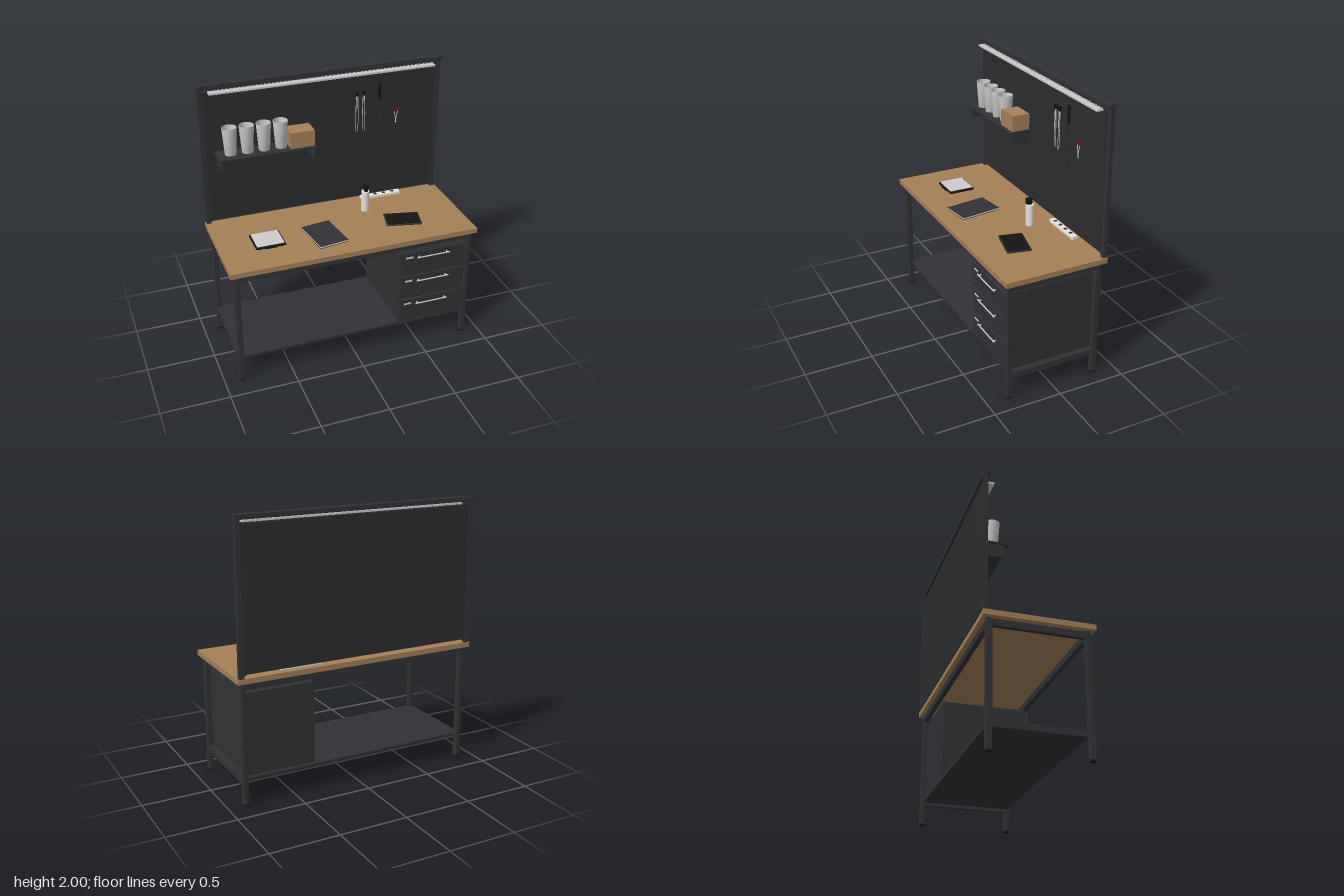
import * as THREE from 'three';
import { RoundedBoxGeometry } from 'three/addons/geometries/RoundedBoxGeometry.js';

const mat = (color, extra = {}) => new THREE.MeshStandardMaterial({ color, ...extra });
const M = {
  steel: mat(0x303235),
  panel: mat(0x2b2d2f),
  black: mat(0x141414),
  wood: mat(0xa47f55),
  carton: mat(0xa67f5a),
  grey: mat(0xcccccc),
  cup: mat(0xcccccc, { side: THREE.DoubleSide }),
  white: mat(0xe6e2dc),
  red: mat(0x5a1a1a),
};

function add(parent, name, geo, material, x = 0, y = 0, z = 0) {
  const m = new THREE.Mesh(geo, material);
  m.name = name;
  m.position.set(x, y, z);
  parent.add(m);
  return m;
}

// Box given by its extents on each axis; r rounds the edges
function box(parent, name, material, [x0, x1], [y0, y1], [z0, z1], r = 0) {
  const s = [x1 - x0, y1 - y0, z1 - z0];
  const geo = r ? new RoundedBoxGeometry(...s, 2, r) : new THREE.BoxGeometry(...s);
  return add(parent, name, geo, material, (x0 + x1) / 2, (y0 + y1) / 2, (z0 + z1) / 2);
}

function group(parent, name, x = 0, y = 0, z = 0, ry = 0) {
  const g = new THREE.Group();
  g.name = name;
  g.position.set(x, y, z);
  g.rotation.y = ry;
  parent.add(g);
  return g;
}

// Thin rod between two points
function rod(parent, name, material, a, b, r) {
  const A = new THREE.Vector3(...a), B = new THREE.Vector3(...b);
  return add(parent, name, new THREE.TubeGeometry(new THREE.LineCurve3(A, B), 1, r, 8), material);
}

function buildFrame(root) {
  const g = group(root, 'deskFrame');
  box(g, 'worktop', M.wood, [-0.92, 0.92], [0.887, 0.925], [-0.38, 0.38]);
  for (const sx of [-1, 1]) {
    for (const sz of [-1, 1]) {
      const x = sx * 0.8725, z = sz * 0.333;
      box(g, 'leg', M.steel, [x - 0.019, x + 0.019], [0.01, 0.887], [z - 0.021, z + 0.021], 0.005);
      add(g, 'foot', new THREE.CylinderGeometry(0.019, 0.021, 0.012, 20), M.black, x, 0.006, z);
    }
    const x = sx * 0.8725;
    box(g, 'sideApron', M.steel, [x - 0.016, x + 0.016], [0.833, 0.88], [-0.313, 0.313]);
    box(g, 'sideRail', M.steel, [x - 0.016, x + 0.016], [0.155, 0.2], [-0.313, 0.313]);
  }
  for (const sz of [-1, 1]) {
    const z = sz * 0.333;
    box(g, 'longApron', M.steel, [-0.855, 0.855], [0.833, 0.882], [z - 0.017, z + 0.017]);
  }
  box(g, 'lowerShelf', M.steel, [-0.857, 0.857], [0.18, 0.2], [-0.333, 0.333]);
}

function buildDrawers(root) {
  const g = group(root, 'drawerCabinet');
  box(g, 'cabinetBody', M.steel, [0.338, 0.852], [0.207, 0.803], [-0.32, 0.328]);
  for (let i = 0; i < 3; i++) {
    const y = 0.21 + i * 0.2;
    box(g, 'drawerFront', M.steel, [0.342, 0.848], [y + 0.003, y + 0.189], [0.328, 0.345], 0.003);
    const h = y + 0.15;
    const bar = add(g, 'drawerHandle', new THREE.CapsuleGeometry(0.005, 0.25, 4, 10), M.grey, 0.59, h, 0.365);
    bar.rotation.z = Math.PI / 2;
    for (const x of [0.48, 0.70]) box(g, 'handlePost', M.grey, [x - 0.004, x + 0.004], [h - 0.004, h + 0.004], [0.343, 0.365]);
    box(g, 'labelPlate', M.grey, [0.378, 0.434], [h - 0.007, h + 0.007], [0.343, 0.348]);
  }
}

function buildBackboard(root) {
  const g = group(root, 'backboard');
  for (const s of [-1, 1]) {
    const x = s * 0.8925;
    box(g, 'post', M.steel, [x - 0.0175, x + 0.0175], [0.925, 1.97], [-0.38, -0.35]);
    box(g, 'postChannel', M.panel, [s * 0.865 - 0.01, s * 0.865 + 0.01], [0.945, 1.943], [-0.374, -0.353]);
  }
  box(g, 'topRail', M.steel, [-0.912, 0.912], [1.965, 2], [-0.382, -0.33], 0.004);
  box(g, 'toolPanel', M.panel, [-0.86, 0.86], [0.95, 1.94], [-0.372, -0.35]);
  // Light bar with a row of cooling ribs
  box(g, 'lightBar', M.grey, [-0.84, 0.84], [1.941, 1.954], [-0.335, -0.288]);
  for (let i = 0; i < 56; i++) {
    const x = -0.825 + i * 0.03;
    box(g, 'lightRib', M.grey, [x - 0.004, x + 0.004], [1.953, 1.958], [-0.335, -0.315]);
  }
  for (const x of [-0.7, 0, 0.7]) box(g, 'lightBracket', M.steel, [x - 0.01, x + 0.01], [1.935, 1.943], [-0.352, -0.32]);
}

function buildWallShelf(root) {
  const g = group(root, 'wallShelf');
  box(g, 'shelfBoard', M.steel, [-0.82, -0.11], [1.485, 1.495], [-0.35, -0.18]);
  for (const x of [-0.8, -0.122]) box(g, 'shelfBracket', M.steel, [x - 0.004, x + 0.004], [1.39, 1.486], [-0.35, -0.203]);
  const profile = [[0, 0], [0.04, 0], [0.054, 0.204], [0.05, 0.204], [0.037, 0.008], [0, 0.008]]
    .map(([r, y]) => new THREE.Vector2(r, y));
  for (let i = 0; i < 4; i++) {
    add(g, 'cup', new THREE.LatheGeometry(profile, 32), M.cup, -0.72 + i * 0.123, 1.495, -0.27);
  }
  box(g, 'cardboardBox', M.carton, [-0.298, -0.118], [1.495, 1.615], [-0.342, -0.204]);
}

function buildTools(root) {
  const g = group(root, 'hangingTools');
  const z = -0.34;
  // Tweezers: two thin arms joined by a dark clip
  for (const x of [0.253, 0.305]) {
    box(g, 'tweezerClip', M.black, [x - 0.011, x + 0.011], [1.77, 1.802], [z - 0.01, z + 0.006]);
    for (const s of [-1, 1]) {
      rod(g, 'tweezerArm', M.grey, [x + s * 0.005, 1.772, z], [x + s * 0.01, 1.62, z], 0.003);
      rod(g, 'tweezerTip', M.grey, [x + s * 0.01, 1.622, z], [x + s * 0.007, 1.49, z], 0.002);
    }
  }
  // Screwdriver
  add(g, 'screwdriverHandle', new THREE.CylinderGeometry(0.011, 0.012, 0.122, 16), M.black, 0.427, 1.785, z);
  rod(g, 'screwdriverShaft', M.panel, [0.427, 1.725, z], [0.431, 1.38, z], 0.004);
  // Scissors
  for (const s of [-1, 1]) {
    const ring = add(g, 'scissorRing', new THREE.TorusGeometry(0.015, 0.006, 8, 20), M.red, 0.562 + s * 0.017, 1.627, z);
    ring.scale.y = 0.75;
    rod(g, 'scissorBlade', M.grey, [0.562 + s * 0.014, 1.612, z], [0.562 - s * 0.004, 1.52, z], 0.003);
  }
}

function buildDeskItems(root) {
  const top = 0.925;
  // Weighing scale
  const scale = group(root, 'weighingScale', -0.565, top, 0.048);
  box(scale, 'scaleBase', M.black, [-0.11, 0.11], [0.008, 0.026], [-0.102, 0.1], 0.008);
  box(scale, 'scalePlate', M.grey, [-0.1, 0.1], [0.025, 0.032], [-0.092, 0.092], 0.003);
  box(scale, 'scaleDisplay', M.black, [-0.04, 0.04], [0.01, 0.022], [0.095, 0.106]);
  for (const x of [-0.08, 0.08]) for (const z of [-0.075, 0.075])
    add(scale, 'scaleFoot', new THREE.CylinderGeometry(0.012, 0.012, 0.01, 12), M.black, x, 0.005, z);

  // Notebook with pale pages between dark covers
  const book = group(root, 'notebook', -0.155, top, 0.098, 0.14);
  for (const y of [0, 0.015]) box(book, 'notebookCover', M.steel, [-0.109, 0.109], [y, y + 0.003], [-0.155, 0.155]);
  box(book, 'notebookPages', M.white, [-0.107, 0.106], [0.003, 0.015], [-0.152, 0.152]);

  // Tablet
  const tablet = group(root, 'tablet', 0.46, top, 0.077, -0.23);
  box(tablet, 'tabletBody', M.steel, [-0.131, 0.131], [0, 0.01], [-0.088, 0.088], 0.004);
  box(tablet, 'tabletScreen', M.black, [-0.121, 0.121], [0.009, 0.0115], [-0.079, 0.079]);

  // Pump bottle
  const bottle = group(root, 'pumpBottle', 0.253, top, -0.152);
  const outline = [[0, 0], [0.028, 0], [0.03, 0.003], [0.03, 0.16], [0.028, 0.165], [0, 0.165]]
    .map(([r, y]) => new THREE.Vector2(r, y));
  add(bottle, 'bottleBody', new THREE.LatheGeometry(outline, 32), M.white);
  add(bottle, 'bottleNeck', new THREE.CylinderGeometry(0.013, 0.014, 0.04, 20), M.black, 0, 0.18, 0);
  box(bottle, 'pumpHead', M.black, [-0.012, 0.012], [0.168, 0.215], [-0.016, 0.03], 0.004);

  // Power strip with sockets
  const strip = group(root, 'powerStrip', 0.44, top, -0.32);
  box(strip, 'stripBody', M.white, [-0.16, 0.16], [0, 0.029], [-0.023, 0.023], 0.006);
  for (let i = 0; i < 4; i++)
    add(strip, 'socket', new THREE.CylinderGeometry(0.014, 0.014, 0.003, 20), M.steel, -0.11 + i * 0.07, 0.0285, 0);
}

export function createModel() {
  const root = new THREE.Group();
  root.name = 'workbench';
  buildFrame(root);
  buildDrawers(root);
  buildBackboard(root);
  buildWallShelf(root);
  buildTools(root);
  buildDeskItems(root);
  return root;
}
